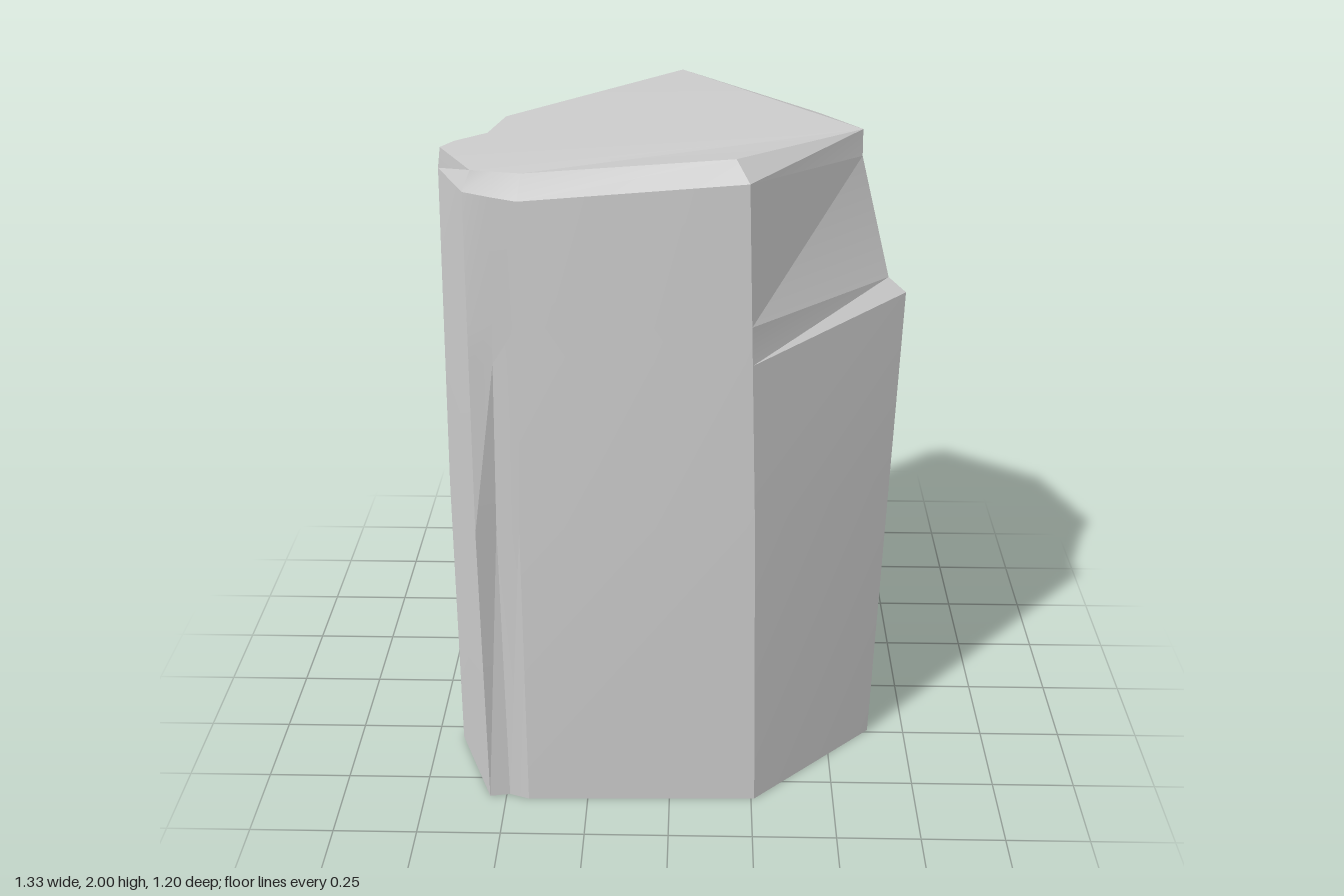
import * as THREE from 'three';
import { toCreasedNormals } from 'three/addons/utils/BufferGeometryUtils.js';

const LEDGE_LOW = 1.45, LEDGE_HIGH = 1.56, MID = 0.95;

// One vertical edge of the pillar: base and mid are [x, z], the rest [x, y, z].
// Edges without their own ledge run straight from mid to rim.
function edge(base, mid, rim, top, ledge) {
  const b = new THREE.Vector3(base[0], 0, base[1]);
  const r = new THREE.Vector3(...rim), t = new THREE.Vector3(...top);
  if (ledge) {
    const [low, high] = ledge.map((p) => new THREE.Vector3(...p));
    return [b, b.clone().lerp(low, MID / low.y), low, high, r, t];
  }
  const m = new THREE.Vector3(mid[0], MID, mid[1]);
  const at = (y) => m.clone().lerp(r, (y - MID) / (r.y - MID));
  return [b, m, at(LEDGE_LOW), at(LEDGE_HIGH), r, t];
}

function pillarGeometry() {
  // Edges in order from the right corner, round the front and back again
  const edges = [
    // right corner, with the broken ledge
    edge([0.635, 0.24], null, [0.525, 1.9, 0.14], [0.525, 1.97, 0.12],
      [[0.66, 1.53, 0.225], [0.61, 1.57, 0.21]]),
    // front right corner
    edge([0.26, 0.58], [0.24, 0.565], [0.205, 1.95, 0.54], [0.17, 2.0, 0.49]),
    // front left corner and its shallow groove
    edge([-0.43, 0.595], [-0.42, 0.58], [-0.39, 1.9, 0.54], [-0.38, 1.96, 0.495]),
    edge([-0.49, 0.575], [-0.485, 0.57], [-0.46, 1.91, 0.535], [-0.45, 1.965, 0.497]),
    edge([-0.55, 0.585], [-0.54, 0.6], [-0.53, 1.92, 0.525], [-0.51, 1.97, 0.5]),
    // left spur
    edge([-0.67, 0.3], [-0.655, 0.3], [-0.62, 1.92, 0.33], [-0.61, 1.98, 0.34]),
    edge([-0.65, 0.25], [-0.64, 0.26], [-0.6, 1.92, 0.275], [-0.58, 1.98, 0.285]),
    // left notch
    edge([-0.58, 0.17], [-0.55, 0.18], [-0.525, 1.92, 0.205], [-0.5, 1.98, 0.21]),
    edge([-0.61, -0.04], [-0.58, -0.01], [-0.525, 1.9, 0.035], [-0.465, 1.985, 0.07]),
    // back corner
    edge([-0.17, -0.6], [-0.16, -0.555], [0.0, 1.88, -0.5], [0.02, 1.98, -0.465]),
    // back right corner, chipped low at the top
    edge([0.5, -0.39], null, [0.43, 1.895, -0.285], [0.43, 1.9, -0.28],
      [[0.54, 1.38, -0.3], [0.43, 1.55, -0.33]]),
  ];
  const n = edges.length, last = edges[0].length - 1, pos = [];
  const tri = (...pts) => pts.forEach((p) => pos.push(p.x, p.y, p.z));

  // Sides
  for (let i = 0; i < n; i++) {
    const a = edges[i], b = edges[(i + 1) % n];
    for (let k = 0; k < last; k++) {
      tri(b[k], a[k], a[k + 1]);
      tri(b[k], a[k + 1], b[k + 1]);
    }
  }
  // Top and base, fanned from the right corner
  const c = edges[0];
  for (let i = 1; i < n - 1; i++) {
    const a = edges[i], b = edges[i + 1];
    tri(c[last], b[last], a[last]);
    tri(c[0], a[0], b[0]);
  }
  const geometry = new THREE.BufferGeometry();
  geometry.setAttribute('position', new THREE.Float32BufferAttribute(pos, 3));
  return toCreasedNormals(geometry, 0.25);
}

export function createModel() {
  const group = new THREE.Group();
  group.name = 'rock';
  const pillar = new THREE.Mesh(pillarGeometry(),
    new THREE.MeshStandardMaterial({ color: 0xcccccc }));
  pillar.name = 'rockPillar';
  group.add(pillar);
  return group;
}
